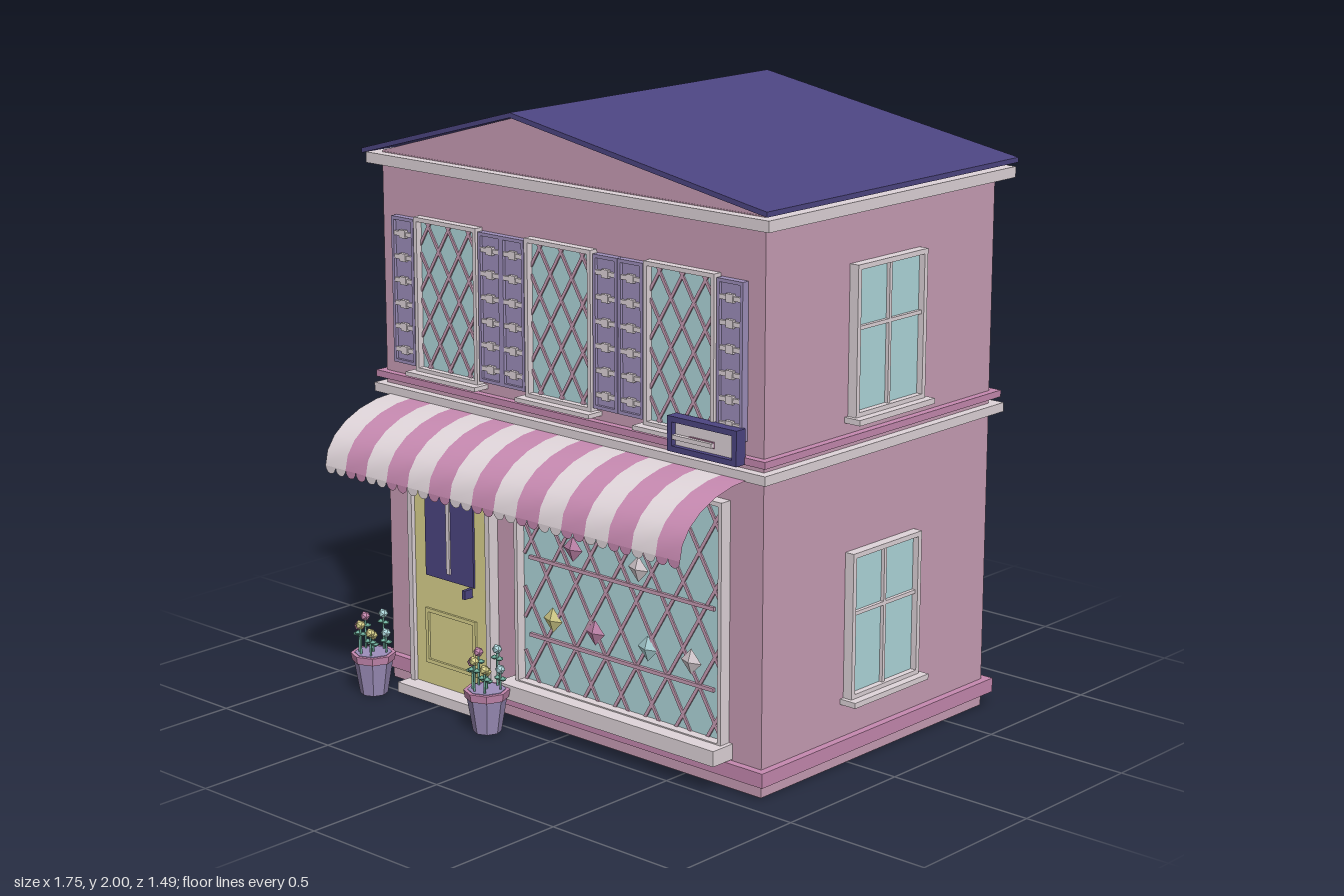
import * as THREE from 'three';

const mat = (name, color, side = THREE.FrontSide) => {
  const m = new THREE.MeshStandardMaterial({ color, side });
  m.name = name;
  return m;
};

export function createModel() {
  const wall = mat('wall pink', 0xc99eb6);
  const pink = mat('trim pink', 0xc689b0, THREE.DoubleSide);
  const white = mat('warm white', 0xe0d5da, THREE.DoubleSide);
  const navy = mat('navy', 0x4d4582);
  const glass = mat('glass blue', 0xb0d9dd);
  const yellow = mat('door yellow', 0xdcd58f);
  const purple = mat('lavender', 0x9e8fbb);
  const leaf = mat('leaf green', 0x6fae9c);

  const root = new THREE.Group();
  root.name = 'shop';
  const group = (name, parent = root) => {
    const g = new THREE.Group();
    g.name = name;
    parent.add(g);
    return g;
  };
  const add = (parent, name, geo, material, x = 0, y = 0, z = 0) => {
    const m = new THREE.Mesh(geo, material);
    m.name = name;
    m.position.set(x, y, z);
    parent.add(m);
    return m;
  };
  // Box given by its limits on each axis
  const box = (parent, name, material, x0, x1, y0, y1, z0, z1) =>
    add(parent, name, new THREE.BoxGeometry(x1 - x0, y1 - y0, z1 - z0), material,
      (x0 + x1) / 2, (y0 + y1) / 2, (z0 + z1) / 2);
  // Four bars around a rectangle facing +z
  const frame = (parent, name, material, x0, x1, y0, y1, z0, z1, t) => {
    box(parent, name, material, x0, x0 + t, y0, y1, z0, z1);
    box(parent, name, material, x1 - t, x1, y0, y1, z0, z1);
    box(parent, name, material, x0 + t, x1 - t, y0, y0 + t, z0, z1);
    box(parent, name, material, x0 + t, x1 - t, y1 - t, y1, z0, z1);
  };
  // Prism with a profile in x, y running from z0 to z1
  const prism = (points, z0, z1) => {
    const shape = new THREE.Shape(points.map(p => new THREE.Vector2(...p)));
    return new THREE.ExtrudeGeometry(shape, { depth: z1 - z0, bevelEnabled: false }).translate(0, 0, z0);
  };
  // Diagonal bars clipped to a rectangle
  const lattice = (parent, x0, x1, y0, y1, z, dx, slope, t) => {
    const h = y1 - y0;
    for (const dir of [1, -1]) {
      for (let s = x0 - h / slope + dx / 2; s < x1; s += dx) {
        const a = Math.max(0, (x0 - s) * slope), b = Math.min(h, (x1 - s) * slope);
        if (b - a < 0.01) continue;
        const mx = s + (a + b) / 2 / slope;
        const bar = add(parent, 'latticeBar',
          new THREE.BoxGeometry(t, (b - a) * Math.hypot(1, 1 / slope), 0.005), wall,
          dir > 0 ? mx : x0 + x1 - mx, y0 + (a + b) / 2, z);
        bar.rotation.z = -dir * Math.atan(1 / slope);
      }
    }
  };

  // Walls, gable and roof
  box(root, 'walls', wall, -0.815, 0.815, 0.004, 1.8, -0.69, 0.42);
  box(root, 'floorPlate', purple, -0.81, 0.81, 0, 0.004, -0.685, 0.415);
  add(root, 'gable', prism([[-0.815, 1.79], [0.815, 1.79], [0.815, 1.815], [-0.18, 1.984], [-0.815, 1.803]],
    -0.688, 0.418), wall);
  add(root, 'roof', prism([[-0.86, 1.795], [-0.18, 1.984], [0.86, 1.81], [0.86, 1.826], [-0.18, 2], [-0.86, 1.811]],
    -0.75, 0.47), navy);

  // Horizontal bands around the building
  box(root, 'cornice', white, -0.855, 0.855, 1.762, 1.797, -0.745, 0.455);
  box(root, 'middleBand', white, -0.845, 0.845, 1.0, 1.03, -0.73, 0.45);
  box(root, 'upperPinkBand', pink, -0.84, 0.84, 1.05, 1.072, -0.72, 0.445);
  box(root, 'baseBandBack', pink, -0.84, 0.84, 0.048, 0.095, -0.72, 0.415);
  box(root, 'baseBandLeft', pink, -0.28, 0.84, 0.048, 0.095, 0.415, 0.445);
  box(root, 'baseBandRight', pink, -0.84, -0.7, 0.048, 0.095, 0.415, 0.445);

  // Upper front windows with lattice and shutters
  for (const cx of [-0.502, -0.003, 0.5]) {
    const w = group('upperWindow');
    const x0 = cx - 0.142, x1 = cx + 0.142;
    box(w, 'pane', glass, x0 + 0.01, x1 - 0.01, 1.11, 1.6, 0.415, 0.428);
    lattice(w, x0 + 0.012, x1 - 0.012, 1.115, 1.595, 0.431, 0.092, 1.65, 0.01);
    frame(w, 'windowFrame', white, x0, x1, 1.1, 1.61, 0.415, 0.45, 0.014);
    box(w, 'sill', white, cx - 0.16, cx + 0.16, 1.088, 1.102, 0.415, 0.48);
    for (const side of [-1, 1]) {
      const s = group('shutter', w);
      const sx = cx + side * 0.199;
      box(s, 'shutterBoard', purple, sx - 0.051, sx + 0.051, 1.115, 1.6, 0.415, 0.436);
      frame(s, 'shutterRim', purple, sx - 0.051, sx + 0.051, 1.115, 1.6, 0.43, 0.446, 0.011);
      for (let i = 0; i < 6; i++) {
        const y = 1.16 + i * 0.077;
        box(s, 'slat', white, sx - 0.043, sx + 0.043, y - 0.007, y + 0.007, 0.43, 0.445);
        box(s, 'slatKnob', white, sx - 0.014, sx + 0.014, y - 0.013, y + 0.013, 0.43, 0.448);
      }
    }
  }

  // Side windows, built facing +z and turned to each side
  for (const side of [-1, 1]) {
    for (const y of [0.22, 1.125]) {
      const w = group('sideWindow');
      w.position.set(side * 0.815, y, -0.14);
      w.rotation.y = side * Math.PI / 2;
      box(w, 'pane', glass, -0.165, 0.165, 0, 0.47, -0.005, 0.012);
      frame(w, 'windowFrame', white, -0.17, 0.17, 0, 0.475, -0.005, 0.033, 0.016);
      box(w, 'mullion', white, -0.006, 0.006, 0.01, 0.465, 0, 0.024);
      box(w, 'crossbar', white, -0.16, 0.16, 0.27, 0.282, 0, 0.024);
      box(w, 'sill', white, -0.185, 0.185, -0.016, 0.002, -0.005, 0.06);
    }
  }

  // Shop window with shelves and display gems
  const shop = group('shopWindow');
  box(shop, 'pane', glass, -0.185, 0.675, 0.15, 0.91, 0.415, 0.428);
  lattice(shop, -0.175, 0.668, 0.15, 0.9, 0.431, 0.13, 1.65, 0.011);
  frame(shop, 'windowFrame', white, -0.195, 0.685, 0.14, 0.92, 0.415, 0.46, 0.014);
  box(shop, 'sill', white, -0.23, 0.7, 0.1, 0.15, 0.415, 0.51);
  for (const y of [0.31, 0.57]) box(shop, 'shelf', wall, -0.15, 0.635, y - 0.006, y + 0.006, 0.425, 0.438);
  const gems = [[0.04, 0.635, pink], [0.32, 0.63, white], [-0.05, 0.38, yellow],
    [0.135, 0.38, pink], [0.36, 0.38, glass], [0.54, 0.38, white]];
  for (const [x, y, m] of gems) {
    add(shop, 'displayGem', new THREE.OctahedronGeometry(0.042), m, x, y, 0.432).scale.z = 0.35;
  }

  // Door
  const door = group('door');
  box(door, 'doorLeaf', yellow, -0.675, -0.325, 0.03, 0.9, 0.415, 0.445);
  for (const x of [-0.69, -0.328]) box(door, 'doorPost', white, x, x + 0.02, 0.03, 0.92, 0.415, 0.46);
  box(door, 'doorHead', white, -0.69, -0.308, 0.9, 0.92, 0.415, 0.46);
  box(door, 'doorGlass', navy, -0.615, -0.39, 0.415, 0.77, 0.44, 0.452);
  box(door, 'doorMullion', white, -0.511, -0.496, 0.44, 0.77, 0.45, 0.458);
  frame(door, 'doorPanel', yellow, -0.62, -0.385, 0.11, 0.3, 0.44, 0.453, 0.013);
  box(door, 'doorHandle', navy, -0.416, -0.402, 0.38, 0.41, 0.44, 0.48);
  box(door, 'doorStep', white, -0.7, -0.29, 0, 0.035, 0.415, 0.51);

  // Plain sign board
  const sign = group('sign');
  box(sign, 'signBoard', white, 0.5, 0.745, 1.06, 1.15, 0.44, 0.465);
  frame(sign, 'signFrame', navy, 0.485, 0.76, 1.05, 1.16, 0.44, 0.482, 0.018);
  box(sign, 'signStripe', pink, 0.56, 0.66, 1.085, 1.105, 0.464, 0.469);

  // Striped awning: curved strips with a scalloped fringe
  const awning = group('awning');
  const sw = 1.54 / 16;
  for (let i = 0; i < 16; i++) {
    const m = i % 2 ? pink : white, cx = -0.77 + (i + 0.5) * sw;
    const geo = new THREE.PlaneGeometry(sw, 1, 1, 6);
    const p = geo.attributes.position;
    for (let k = 0; k < p.count; k++) {
      const a = (0.5 - p.getY(k)) * Math.PI / 2;
      p.setXYZ(k, p.getX(k), 0.82 + 0.185 * Math.cos(a), 0.43 + 0.31 * Math.sin(a));
    }
    geo.computeVertexNormals();
    add(awning, 'awningStripe', geo, m, cx);
    for (const s of [-1, 1]) {
      add(awning, 'scallop', new THREE.CircleGeometry(sw / 4, 8, Math.PI, Math.PI), m, cx + s * sw / 4, 0.82, 0.74);
    }
  }

  // Flower pots
  for (const x of [-0.757, -0.22]) {
    const pot = group('flowerPot');
    pot.position.set(x, 0, 0.565);
    const flat = (r1, r0, h) => new THREE.CylinderGeometry(r1, r0, h, 8).toNonIndexed();
    const part = (name, geo, m, y) => { geo.computeVertexNormals(); add(pot, name, geo, m, 0, y); };
    part('potBody', flat(0.066, 0.046, 0.12), purple, 0.06);
    part('potRim', flat(0.075, 0.071, 0.026), pink, 0.128);
    part('potSoil', flat(0.062, 0.062, 0.006), purple, 0.14);
    for (let i = 0; i < 7; i++) {
      const a = i * 2.4, r = i ? 0.045 : 0, h = 0.2 + (i * 3 % 7) * 0.011;
      const fx = r * Math.cos(a), fz = r * Math.sin(a);
      add(pot, 'stem', new THREE.CylinderGeometry(0.004, 0.004, h - 0.13, 5), leaf, fx, (h + 0.13) / 2, fz);
      for (const s of [-1, 1]) {
        add(pot, 'leaf', new THREE.OctahedronGeometry(0.015), leaf, fx + s * 0.012, h - 0.03, fz).scale.y = 0.6;
      }
      add(pot, 'flower', new THREE.IcosahedronGeometry(0.017), [yellow, pink, glass][i % 3], fx, h, fz);
    }
  }
  return root;
}
